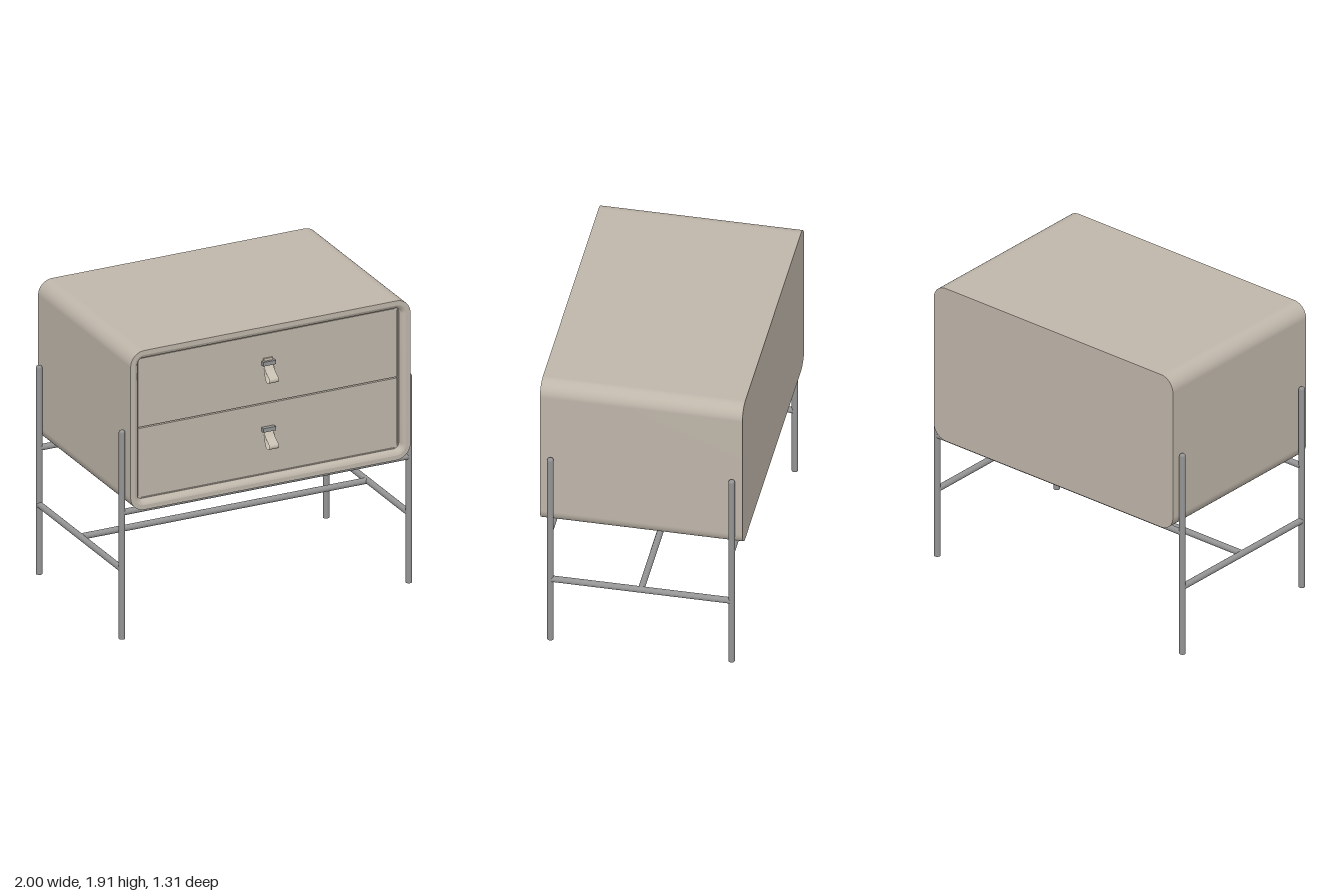
import * as THREE from 'three';

const W = 0.955, Y0 = 0.858, Y1 = 1.914, BACK = -0.655, FRONT = 0.605;
const CY = (Y0 + Y1) / 2, HH = (Y1 - Y0) / 2, R = 0.095;

// Rounded rectangle outline, anticlockwise seen from the front
function outline(inset) {
  const r = Math.max(R - inset, 0.025), n = 10, pts = [];
  const cx = W - inset - r, cy = HH - inset - r;
  [[1, 1], [-1, 1], [-1, -1], [1, -1]].forEach(([sx, sy], q) => {
    for (let i = 0; i <= n; i++) {
      const a = (q + i / n) * Math.PI / 2;
      pts.push(new THREE.Vector2(sx * cx + r * Math.cos(a), CY + sy * cy + r * Math.sin(a)));
    }
  });
  return pts;
}

// Smooth skin through a list of [inset, z] rings
function skin(rings) {
  const pos = [], idx = [];
  let n = 0;
  rings.forEach(([inset, z]) => {
    const o = outline(inset);
    n = o.length;
    o.forEach(p => pos.push(p.x, p.y, z));
  });
  for (let k = 0; k < rings.length - 1; k++) {
    for (let i = 0; i < n; i++) {
      const j = (i + 1) % n, a = k * n + i, b = k * n + j;
      idx.push(a, b, b + n, a, b + n, a + n);
    }
  }
  const g = new THREE.BufferGeometry();
  g.setAttribute('position', new THREE.Float32BufferAttribute(pos, 3));
  g.setIndex(idx);
  g.computeVertexNormals();
  return g;
}

export function createModel() {
  const model = new THREE.Group();
  const paint = new THREE.MeshStandardMaterial({ color: 0xbfb6aa });
  paint.name = 'warm grey paint';
  const metal = new THREE.MeshStandardMaterial({ color: 0x949494 });
  metal.name = 'grey metal';
  const strapMat = new THREE.MeshStandardMaterial({ color: 0xc6beb0, side: THREE.DoubleSide });
  strapMat.name = 'pale strap';

  const add = (name, geo, mat, x = 0, y = 0, z = 0, parent = model) => {
    const m = new THREE.Mesh(geo, mat);
    m.name = name;
    m.position.set(x, y, z);
    parent.add(m);
    return m;
  };

  // Cabinet shell with a hollowed front rim
  add('cabinetSides', skin([[0, BACK], [0, FRONT]]), paint);
  add('frontRim', skin([[0, FRONT], [0.03, FRONT]]), paint);
  add('rimCove', skin([[0.03, FRONT], [0.044, 0.6], [0.055, 0.587], [0.06, 0.565]]), paint);
  add('rimStep', skin([[0.06, 0.565], [0.065, 0.565]]), paint);
  add('recessWall', skin([[0.065, 0.565], [0.065, 0.545]]), paint);
  add('recessFloor', new THREE.ShapeGeometry(new THREE.Shape(outline(0.065))), paint, 0, 0, 0.545);
  const back = add('backPanel', new THREE.ShapeGeometry(new THREE.Shape(outline(0))), paint, 0, 0, BACK);
  back.rotation.y = Math.PI;

  // Two drawers, each with a hanging strap pull
  const loop = new THREE.CatmullRomCurve3([
    [0.57, 0.115], [0.583, 0.09], [0.602, 0.068], [0.63, 0.05], [0.653, 0.032],
    [0.652, 0.014], [0.632, 0.002], [0.61, 0.004], [0.594, 0.025], [0.581, 0.06], [0.568, 0.1]
  ].map(([z, y]) => new THREE.Vector3(0, y, z))).getPoints(40);

  [['lowerDrawer', 0.926, 1.384, 1.104], ['upperDrawer', 1.392, 1.846, 1.543]].forEach(([name, b, t, h], k) => {
    const drawer = new THREE.Group();
    drawer.name = name;
    model.add(drawer);
    add('drawerFront', new THREE.BoxGeometry(1.768, t - b, 0.03), paint, 0, (t + b) / 2, 0.55, drawer);

    // Strap: the loop curve swept across the width
    const pos = [], idx = [];
    loop.forEach((p, i) => {
      pos.push(-0.032, p.y, p.z, 0.032, p.y, p.z);
      if (i) idx.push(2 * i - 2, 2 * i, 2 * i - 1, 2 * i - 1, 2 * i, 2 * i + 1);
    });
    const strap = new THREE.BufferGeometry();
    strap.setAttribute('position', new THREE.Float32BufferAttribute(pos, 3));
    strap.setIndex(idx);
    strap.computeVertexNormals();
    add('pullStrap', strap, strapMat, 0, h, 0, drawer);
    add('pullClip', new THREE.BoxGeometry(0.086, 0.026, 0.03), metal, 0, h + 0.116, 0.577, drawer);
    if (k) add('pullTab', new THREE.BoxGeometry(0.06, 0.02, 0.012), strapMat, 0, h + 0.135, 0.57, drawer);
  });

  // Tubular stand
  const r = 0.02, zf = 0.535, zb = -0.593, zm = (zf + zb) / 2;
  const legGeo = new THREE.LatheGeometry(
    [[0, 0], [r, 0], [r, 0], [r, 1.366], [0.017, 1.376], [0.011, 1.38], [0, 1.38]]
      .map(([x, y]) => new THREE.Vector2(x, y)), 24);
  const crossGeo = new THREE.CylinderGeometry(r, r, 1.95, 24).rotateZ(Math.PI / 2);
  const sideGeo = new THREE.CylinderGeometry(r, r, zf - zb, 24).rotateX(Math.PI / 2);
  [1, -1].forEach(s => {
    const side = s > 0 ? 'left' : 'right';
    add(side + 'FrontLeg', legGeo, metal, s * 0.979, 0, zf);
    add(side + 'BackLeg', legGeo, metal, s * 0.979, 0, zb);
    add(side + 'SideRail', sideGeo, metal, s * 0.979, 0.46, zm);
  });
  add('frontSupportRail', crossGeo, metal, 0, 0.836, zf);
  add('backSupportRail', crossGeo, metal, 0, 0.836, zb);
  add('middleStretcher', crossGeo, metal, 0, 0.46, zm);

  return model;
}
